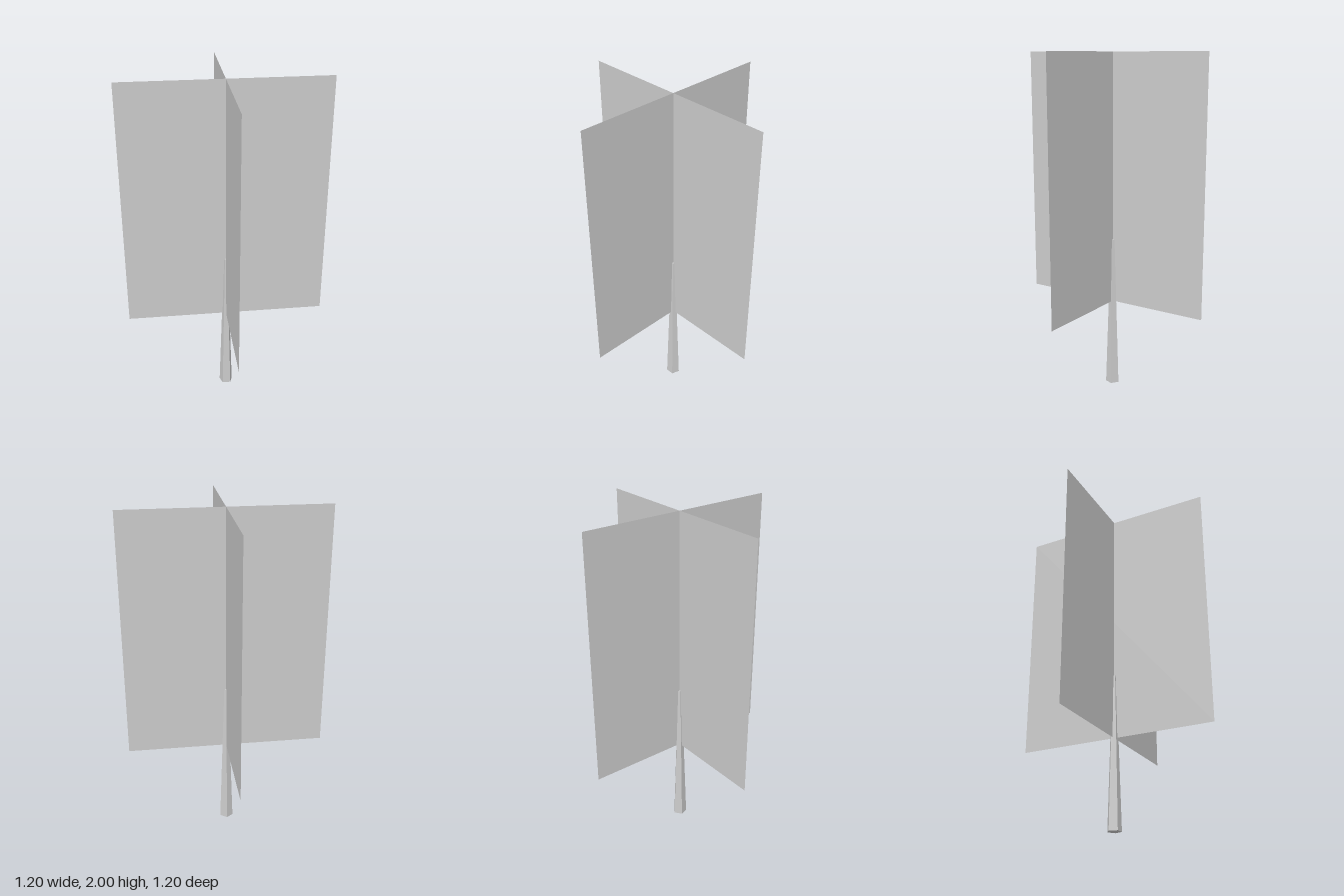
import * as THREE from 'three';

export function createModel() {
  const model = new THREE.Group();
  const material = new THREE.MeshStandardMaterial({ color: 0xcccccc, flatShading: true });
  const leafMaterial = new THREE.MeshStandardMaterial({ color: 0xcccccc, side: THREE.DoubleSide });

  // Tapered five-sided trunk, one corner pointing to the back
  const trunkHeight = 0.91;
  const trunk = new THREE.Mesh(
    new THREE.CylinderGeometry(0.012, 0.042, trunkHeight, 5, 1, false, Math.PI),
    material
  );
  trunk.name = 'trunk';
  trunk.position.y = trunkHeight / 2;
  model.add(trunk);

  // Two upright foliage cards crossing at right angles
  const foliage = new THREE.Group();
  foliage.name = 'foliage';
  const bottom = 0.525, top = 2;
  const cardGeometry = new THREE.PlaneGeometry(1.196, top - bottom);
  ['foliageCardAcross', 'foliageCardDeep'].forEach((name, i) => {
    const card = new THREE.Mesh(cardGeometry, leafMaterial);
    card.name = name;
    card.position.y = (bottom + top) / 2;
    card.rotation.y = i * Math.PI / 2;
    foliage.add(card);
  });
  model.add(foliage);

  return model;
}
